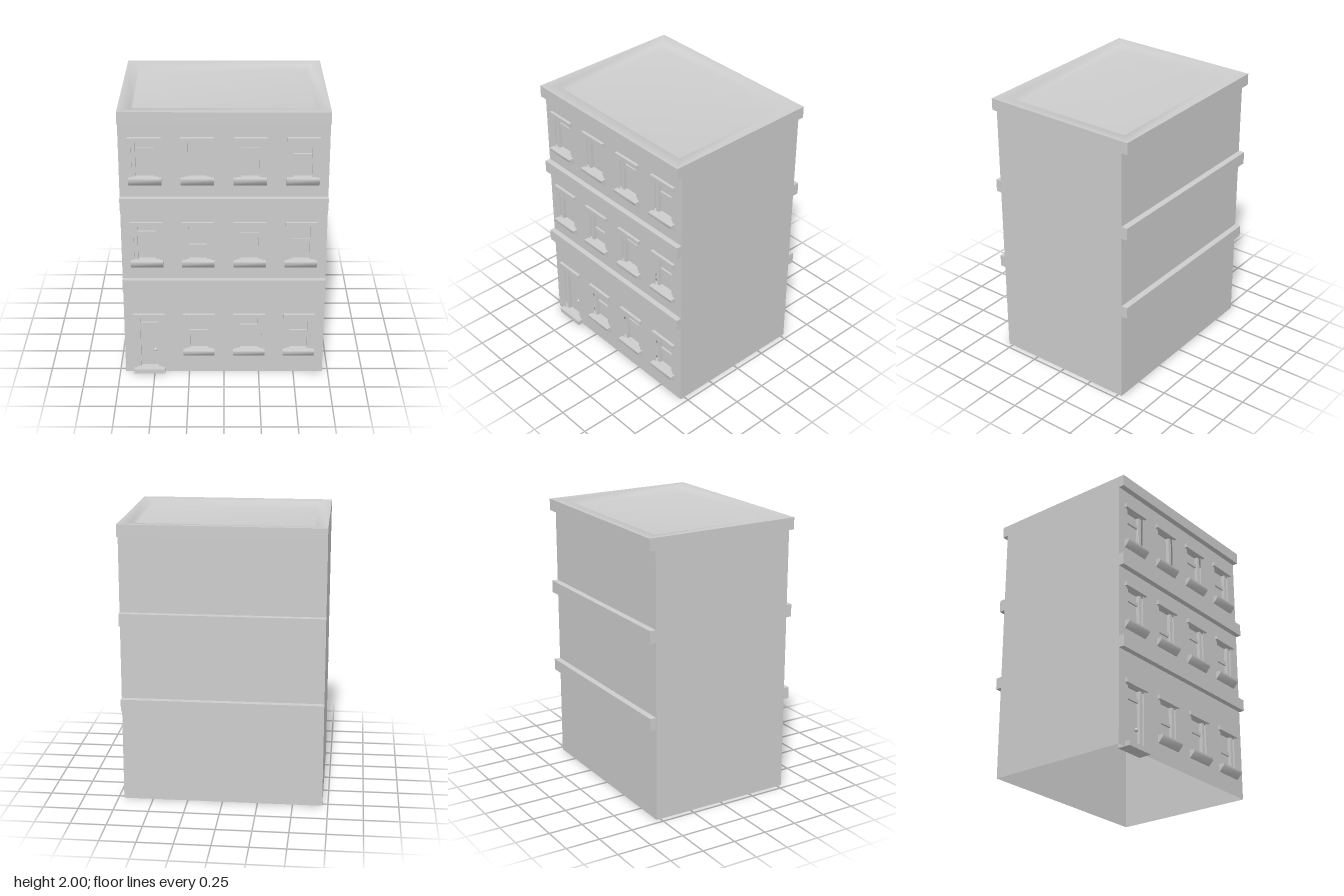
import * as THREE from 'three';
import { toCreasedNormals } from 'three/addons/utils/BufferGeometryUtils.js';

const W = 0.71;            // half width
const FRONT = 0.535;       // front wall plane
const BACK = -0.53;        // back wall plane
const EDGE = 0.576;        // front and back of the bands
const CORNICE = 1.915;     // underside of the cornice
const INNER = 0.478;       // how far window parts reach indoors

const stone = new THREE.MeshStandardMaterial({ color: 0xcccccc, side: THREE.DoubleSide });
stone.name = 'stone';

function add(parent, name, geometry, x = 0, y = 0, z = 0) {
  const mesh = new THREE.Mesh(geometry, stone);
  mesh.name = name;
  mesh.position.set(x, y, z);
  parent.add(mesh);
  return mesh;
}

// Box given by its limits in y and z
function slab(parent, name, x, width, y0, y1, z0, z1) {
  return add(parent, name, new THREE.BoxGeometry(width, y1 - y0, z1 - z0), x, (y0 + y1) / 2, (z0 + z1) / 2);
}

// Skin over rectangular loops [halfX, y, zFront, zBack], optionally capped at the last one
function loft(loops, cap) {
  const pos = [], index = [];
  for (const [x, y, f, b] of loops) pos.push(-x, y, f, x, y, f, x, y, b, -x, y, b);
  for (let i = 0; i < loops.length - 1; i++) {
    for (let j = 0; j < 4; j++) {
      const a = i * 4 + j, n = i * 4 + (j + 1) % 4;
      index.push(a, n, n + 4, a, n + 4, a + 4);
    }
  }
  const e = (loops.length - 1) * 4;
  if (cap) index.push(e, e + 1, e + 2, e, e + 2, e + 3);
  const g = new THREE.BufferGeometry();
  g.setAttribute('position', new THREE.Float32BufferAttribute(pos, 3));
  g.setIndex(index);
  g.computeVertexNormals();
  return g;
}

// Sill with a rounded underside
function sillGeometry(width) {
  const s = new THREE.Shape();
  s.moveTo(INNER, 0.057);
  s.lineTo(0.574, 0.057);
  s.lineTo(0.574, 0.038);
  s.lineTo(0.538, 0);
  s.lineTo(INNER, 0);
  s.closePath();
  const g = new THREE.ExtrudeGeometry(s, { depth: width, bevelEnabled: false });
  g.rotateY(-Math.PI / 2);
  g.translate(width / 2, 0, 0);
  return toCreasedNormals(g, 1);
}

const COLUMNS = [-0.535, -0.18, 0.178, 0.533];
// sill: bottom of sill, head: bottom of lintel, rails: bottom of each sash rail
const FLOORS = [
  { sill: 0.13, head: 0.445, rails: [0.36, 0.3, 0.345, 0.3] },
  { sill: 0.842, head: 1.16, rails: [1.08, 0.98, 1.07, 1.02] },
  { sill: 1.463, head: 1.78, rails: [1.695, null, 1.695, 1.655] },
];
const OPEN = 0.178, WIDE = 0.225, JAMB = 0.026;

function createOpening(x, floor, rail, isDoor) {
  const g = new THREE.Group();
  g.name = isDoor ? 'door' : 'window';
  const bottom = isDoor ? 0.035 : floor.sill + 0.057;
  const top = floor.head;
  const clear = OPEN - 2 * JAMB;

  slab(g, 'lintel', x, WIDE, top, top + 0.03, INNER, 0.556);
  if (isDoor) slab(g, 'doorstep', x, WIDE, 0, bottom, INNER, 0.573);
  else add(g, 'sill', sillGeometry(WIDE), x, floor.sill, 0);
  for (const s of [-1, 1]) {
    slab(g, 'jamb', x + s * (OPEN - JAMB) / 2, JAMB, bottom, top, INNER, 0.522);
  }
  slab(g, isDoor ? 'doorPanel' : 'pane', x, clear, bottom, top, 0.49, 0.496);
  if (rail !== null) {
    slab(g, 'rail', x, clear, rail, rail + 0.027, 0.482, 0.51);
  }
  if (isDoor) {
    add(g, 'doorKnob', new THREE.SphereGeometry(0.013, 16, 12), x + 0.041, 0.165, 0.508);
  }
  return g;
}

export function createModel() {
  const model = new THREE.Group();
  model.name = 'townBuilding';

  // Front wall with openings cut out
  const wall = new THREE.Shape();
  wall.moveTo(-W, 0);
  wall.lineTo(W, 0);
  wall.lineTo(W, CORNICE);
  wall.lineTo(-W, CORNICE);
  wall.closePath();
  FLOORS.forEach((floor, f) => COLUMNS.forEach((x, c) => {
    const isDoor = f === 0 && c === 0;
    const y0 = isDoor ? 0.02 : floor.sill + 0.03, y1 = floor.head + 0.015;
    const h = new THREE.Path();
    h.moveTo(x - OPEN / 2, y0);
    h.lineTo(x - OPEN / 2, y1);
    h.lineTo(x + OPEN / 2, y1);
    h.lineTo(x + OPEN / 2, y0);
    h.closePath();
    wall.holes.push(h);
    model.add(createOpening(x, floor, floor.rails[c], isDoor));
  }));
  add(model, 'frontWall', new THREE.ShapeGeometry(wall), 0, 0, FRONT);

  // Plain back and side walls, open underneath
  const back = add(model, 'backWall', new THREE.PlaneGeometry(2 * W, CORNICE), 0, CORNICE / 2, BACK);
  back.rotation.y = Math.PI;
  for (const s of [-1, 1]) {
    const side = add(model, 'sideWall', new THREE.PlaneGeometry(FRONT - BACK, CORNICE),
      s * W, CORNICE / 2, (FRONT + BACK) / 2);
    side.rotation.y = s * Math.PI / 2;
  }

  // Storey bands on the front and back
  for (const [y0, y1] of [[0.675, 0.76], [1.29, 1.38]]) {
    slab(model, 'frontBand', 0, 2 * W, y0, y1, FRONT + 0.001, EDGE);
    slab(model, 'backBand', 0, 2 * W, y0, y1, -EDGE, BACK - 0.001);
  }

  // Cornice: soffit and upright faces
  const cornice = loft([[W, CORNICE, FRONT, BACK], [W, CORNICE, EDGE, -EDGE], [W, 2, EDGE, -EDGE]], false).toNonIndexed();
  cornice.computeVertexNormals();
  add(model, 'cornice', cornice);

  // Softly shaded rim and sunken roof
  add(model, 'roof', loft([
    [W, 2, EDGE, -EDGE],
    [0.622, 1.995, 0.478, -0.485],
    [0.615, 1.945, 0.472, -0.478],
  ], true));

  return model;
}
